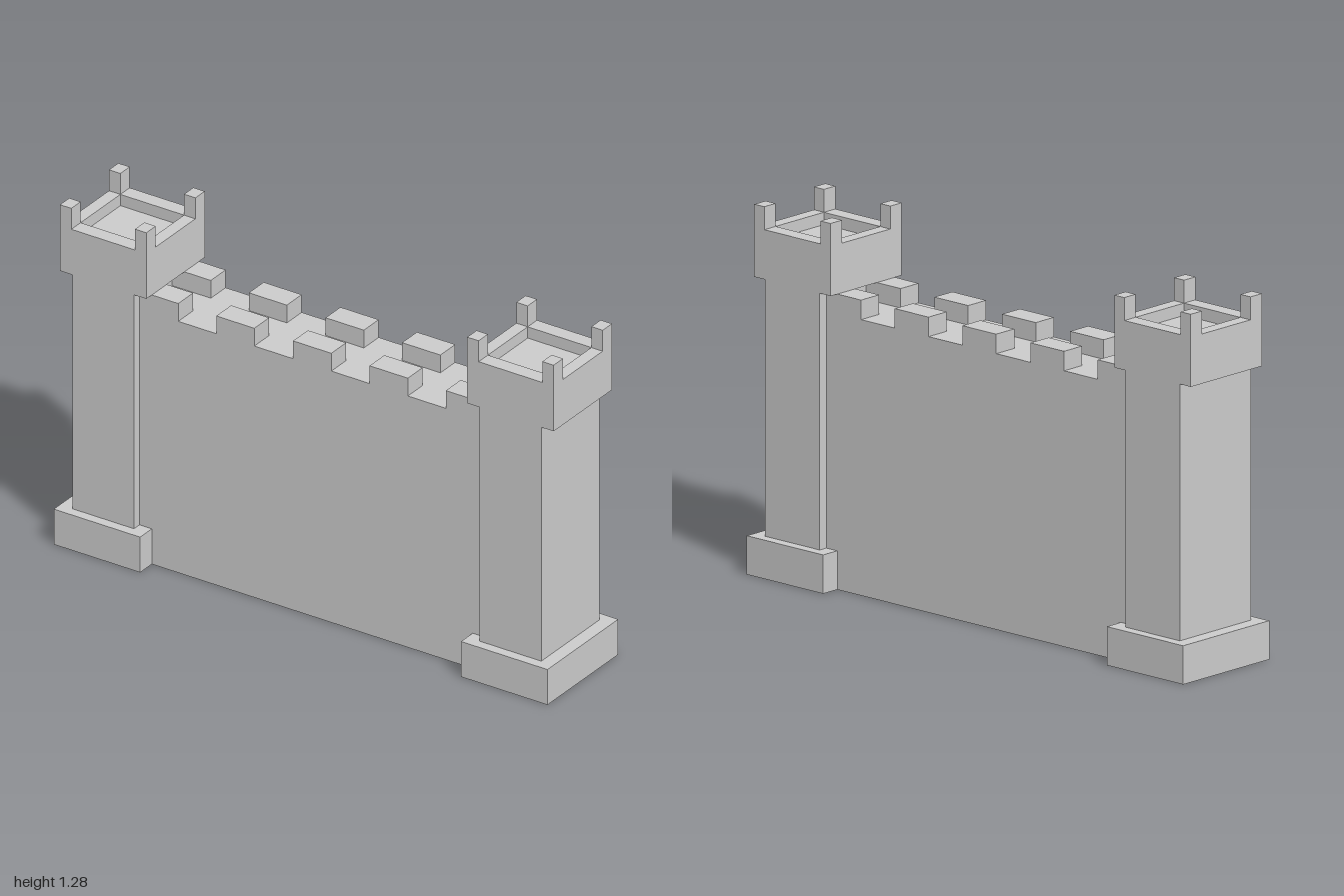
import * as THREE from 'three';

const material = new THREE.MeshStandardMaterial({ color: 0xcccccc, flatShading: true });

// Box given by its minimum and maximum corners
function block(name, [x0, y0, z0], [x1, y1, z1]) {
  const mesh = new THREE.Mesh(new THREE.BoxGeometry(x1 - x0, y1 - y0, z1 - z0), material);
  mesh.position.set((x0 + x1) / 2, (y0 + y1) / 2, (z0 + z1) / 2);
  mesh.name = name;
  return mesh;
}

function rectangle(path, w, d) {
  return path.moveTo(-w, -d).lineTo(w, -d).lineTo(w, d).lineTo(-w, d).closePath();
}

// Tower centred on its own axis
function createTower(name) {
  const tower = new THREE.Group();
  tower.name = name;
  const w = 0.175, d = 0.175, postW = 0.046, postD = 0.056;
  const floorY = 1.16, rimY = 1.203, topY = 1.283;
  tower.add(
    block('towerBase', [-w, 0, -0.212], [w, 0.135, 0.212]),
    block('towerShaft', [-0.125, 0.135, -d], [0.125, 1.03, d]),
    block('towerHead', [-w, 1.03, -d], [w, floorY, d])
  );

  // Raised rim around the platform
  const outline = rectangle(new THREE.Shape(), w, d);
  outline.holes.push(rectangle(new THREE.Path(), w - postW, d - postD));
  const rimGeometry = new THREE.ExtrudeGeometry(outline, { depth: rimY - floorY, bevelEnabled: false });
  rimGeometry.rotateX(-Math.PI / 2);
  const rim = new THREE.Mesh(rimGeometry, material);
  rim.position.y = floorY;
  rim.name = 'towerRim';
  tower.add(rim);

  // Corner posts
  for (const sx of [-1, 1]) {
    for (const sz of [-1, 1]) {
      const post = block('cornerPost', [-postW / 2, rimY, -postD / 2], [postW / 2, topY, postD / 2]);
      post.position.x = sx * (w - postW / 2);
      post.position.z = sz * (d - postD / 2);
      tower.add(post);
    }
  }
  return tower;
}

export function createModel() {
  const model = new THREE.Group();
  model.name = 'castleWall';

  for (const side of [-1, 1]) {
    const tower = createTower(side > 0 ? 'leftTower' : 'rightTower');
    tower.position.x = side * 0.825;
    model.add(tower);
  }

  // Curtain wall with a walkway between two rows of merlons
  const wallZ = 0.142, walkZ = 0.053, walkY = 0.962, merlonY = 1.03;
  model.add(block('curtainWall', [-0.7, 0, -wallZ], [0.7, walkY, wallZ]));
  const spans = [[-0.7, -0.543], [-0.389, -0.235], [-0.078, 0.077], [0.232, 0.387], [0.541, 0.7]];
  for (const [x0, x1] of spans) {
    model.add(
      block('frontMerlon', [x0, walkY, walkZ], [x1, merlonY, wallZ]),
      block('backMerlon', [x0, walkY, -wallZ], [x1, merlonY, -walkZ])
    );
  }
  return model;
}
